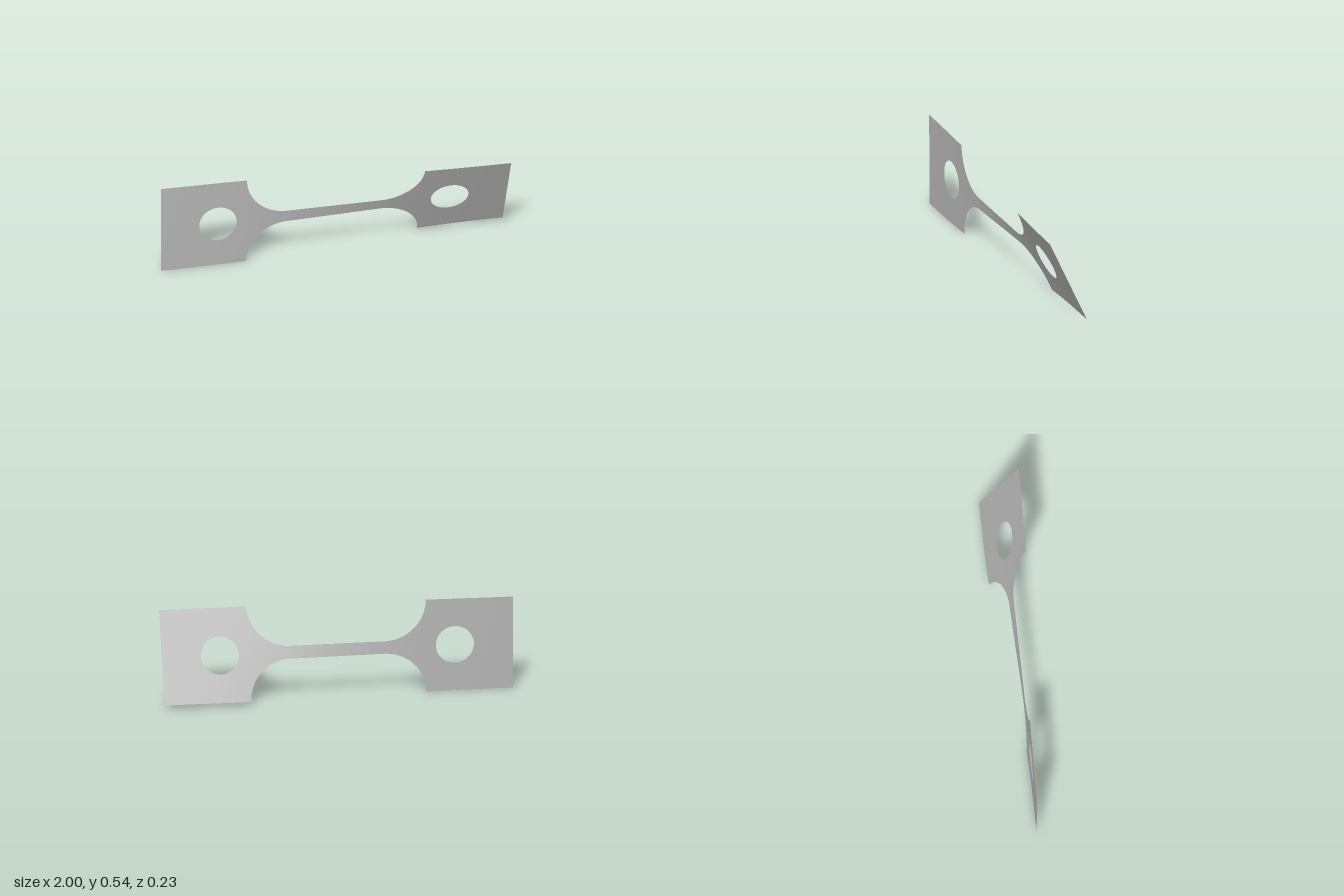
import * as THREE from 'three';
import { mergeVertices } from 'three/addons/utils/BufferGeometryUtils.js';

const HALF = 0.271;              // half height of the end tabs
const WAIST = 0.036;             // half height of the narrow bar
const FILLET_X = 0.27, FILLET_R = HALF - WAIST;
const HOLE_X = 0.67, HOLE_R = 0.108;
const ROWS = 6;

// Half height of the outline at x
function outline(x) {
  const d = Math.abs(x) - FILLET_X;
  if (d <= 0) return WAIST;
  if (d >= FILLET_R - 1e-6) return HALF;
  return HALF - Math.sqrt(FILLET_R ** 2 - d ** 2);
}

// Half height of the hole at x
function hole(x) {
  const d = Math.abs(x) - HOLE_X;
  return Math.sqrt(Math.max(0, HOLE_R ** 2 - d ** 2));
}

// Stations along the right half, dense on the fillet and hole arcs
function stations() {
  const xs = [];
  for (let i = 0; i <= 8; i++) xs.push(FILLET_X * i / 8);
  for (let i = 1; i <= 20; i++) xs.push(FILLET_X + FILLET_R * Math.sin(Math.PI / 2 * i / 20));
  for (let i = 0; i <= 32; i++) xs.push(HOLE_X - HOLE_R * Math.cos(Math.PI * i / 32));
  for (let i = 1; i <= 6; i++) xs.push(HOLE_X + HOLE_R + (1 - HOLE_X - HOLE_R) * i / 6);
  return xs;
}

// Twist the flat sheet about its long axis, with a slight bow
function twist(x, v) {
  const a = THREE.MathUtils.degToRad(12.4 * (1 + Math.tanh(2.4 * x)));
  return [x, HALF + v * Math.cos(a), v * Math.sin(a) - 0.005 * Math.sin(Math.PI * x)];
}

function sheetGeometry() {
  const right = stations();
  const xs = [...right.slice(1).reverse().map((x) => -x), ...right];
  const pos = [], index = [];
  // upper and lower halves, each running from the hole edge to the outline
  for (const side of [1, -1]) {
    const base = pos.length / 3;
    xs.forEach((x, i) => {
      const inner = hole(x), outer = outline(x);
      for (let r = 0; r <= ROWS; r++) {
        pos.push(...twist(x, side * THREE.MathUtils.lerp(inner, outer, r / ROWS)));
        if (i === 0 || r === 0) continue;
        const d = base + i * (ROWS + 1) + r, c = d - 1;
        const b = d - ROWS - 1, a = b - 1;
        if (side > 0) index.push(a, c, d, a, d, b);
        else index.push(a, d, c, a, b, d);
      }
    });
  }
  const g = new THREE.BufferGeometry();
  g.setAttribute('position', new THREE.Float32BufferAttribute(pos, 3));
  g.setIndex(index);
  const merged = mergeVertices(g, 1e-5);
  merged.computeVertexNormals();
  return merged;
}

export function createModel() {
  const group = new THREE.Group();
  group.name = 'twistedSpecimen';
  const grey = new THREE.MeshStandardMaterial({ color: 0xb4b4b4, side: THREE.DoubleSide });
  grey.name = 'plain grey';
  const sheet = new THREE.Mesh(sheetGeometry(), grey);
  sheet.name = 'twistedSheet';
  group.add(sheet);
  return group;
}
